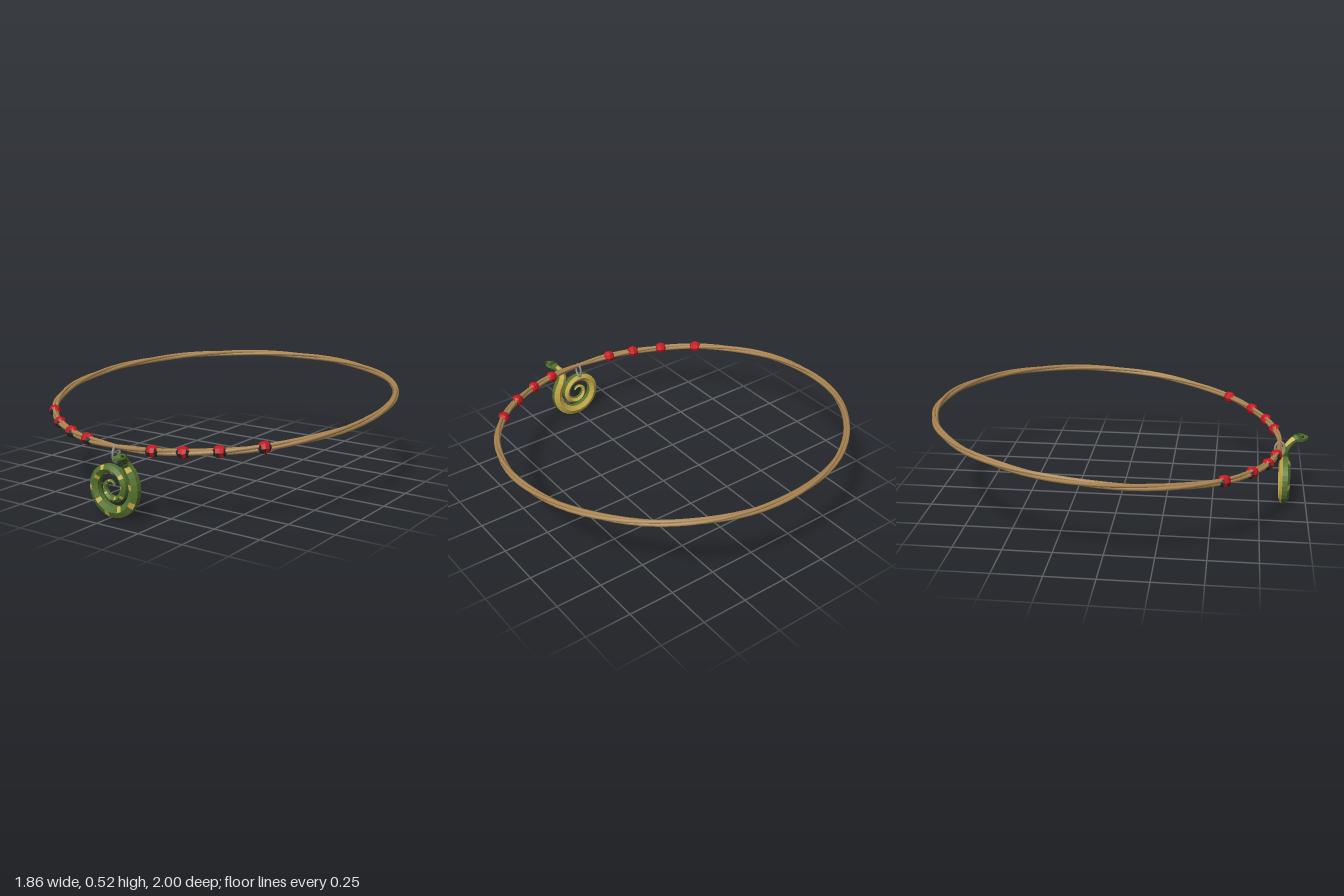
import * as THREE from 'three';

const mat = (name, color, flatShading = true) => {
  const m = new THREE.MeshStandardMaterial({ color, flatShading });
  m.name = name;
  return m;
};
const V = (x, y, z) => new THREE.Vector3(x, y, z);

// Skin a row of rings {p, d, w, h}: d is the dorsal hint, w/h the half width and height.
// pick(i, j) chooses the material index of each facet; j counts from the dorsal ridge.
function sweep(name, rings, sides, materials, pick) {
  const loops = rings.map((r, i) => {
    const a = rings[Math.max(i - 1, 0)].p, b = rings[Math.min(i + 1, rings.length - 1)].p;
    const t = b.clone().sub(a).normalize();
    const d = r.d.clone().addScaledVector(t, -r.d.dot(t)).normalize();
    const s = t.clone().cross(d);
    return Array.from({ length: sides }, (_, j) => {
      const k = (j / sides) * Math.PI * 2;
      return r.p.clone().addScaledVector(d, r.h * Math.cos(k)).addScaledVector(s, r.w * Math.sin(k));
    });
  });
  const buckets = materials.map(() => []);
  const tri = (m, ...pts) => pts.forEach(p => buckets[m].push(p.x, p.y, p.z));
  const last = loops.length - 1;
  for (let j = 0; j < sides; j++) {
    const k = (j + 1) % sides;
    for (let i = 0; i < last; i++) {
      const m = pick(i, j);
      tri(m, loops[i][j], loops[i][k], loops[i + 1][j]);
      tri(m, loops[i][k], loops[i + 1][k], loops[i + 1][j]);
    }
    tri(pick(0, j), rings[0].p, loops[0][k], loops[0][j]);
    tri(pick(last - 1, j), rings[last].p, loops[last][j], loops[last][k]);
  }
  const geo = new THREE.BufferGeometry();
  geo.setAttribute('position', new THREE.Float32BufferAttribute(buckets.flat(), 3));
  let start = 0;
  buckets.forEach((b, m) => {
    geo.addGroup(start, b.length / 3, m);
    start += b.length / 3;
  });
  geo.computeVertexNormals();
  const mesh = new THREE.Mesh(geo, materials);
  mesh.name = name;
  return mesh;
}

// Centre line of the tilted neck cord; angle 0 is the front middle
function cordPoint(a) {
  const c = Math.cos(a);
  return V(0.912 * Math.sin(a), 0.442 - 0.08 * c - 0.02 * c * c, -0.069 + 0.915 * c);
}

export function createModel() {
  const model = new THREE.Group();
  const tan = mat('cordTan', 0xad8752, false);
  const red = mat('beadRed', 0xc4181e);
  const dark = mat('beadDark', 0x1f2a2a);
  const green = mat('snakeGreen', 0x54732e);
  const deepGreen = mat('snakeDarkGreen', 0x374d22);
  const yellow = mat('snakeYellow', 0xcdb24c);
  const grey = mat('ringGrey', 0x97938a, false);

  // Cord of three slowly twisted strands, pinched together at the front
  const cord = new THREE.Group();
  cord.name = 'cord';
  for (let s = 0; s < 3; s++) {
    const pts = [];
    for (let i = 0; i < 80; i++) {
      const a = (i / 80) * Math.PI * 2;
      const near = Math.cos(a) > 0 ? Math.exp(-((Math.sin(a) / 0.08) ** 2)) : 0;
      const off = 0.0085 * (1 - 0.9 * near);
      const k = a * 4 + (s * Math.PI * 2) / 3;
      const out = V(Math.sin(a), 0, Math.cos(a)).multiplyScalar(off * Math.cos(k));
      pts.push(cordPoint(a).add(out).add(V(0, off * Math.sin(k), 0)));
    }
    const strand = new THREE.Mesh(
      new THREE.TubeGeometry(new THREE.CatmullRomCurve3(pts, true), 80, 0.0105, 6, true), tan);
    strand.name = 'strand';
    cord.add(strand);
  }
  model.add(cord);

  // Round beads, four on each side, with dark marks on the outer faces
  const profile = [[-0.032, 0.013], [-0.019, 0.027], [0, 0.032], [0.019, 0.027], [0.032, 0.013]];
  for (const side of [-1, 1]) {
    const inner = side < 0 ? 2 : 1;
    for (const x of [0.2, 0.345, 0.495, 0.655]) {
      const a = Math.asin((side * x) / 0.912);
      const dir = cordPoint(a + 0.01).sub(cordPoint(a - 0.01)).normalize();
      const d = V(Math.sin(a), 0, Math.cos(a));
      const rings = profile.map(([t, r]) => ({ p: cordPoint(a).addScaledVector(dir, t), d, w: r, h: r }));
      model.add(sweep('bead', rings, 8, [red, dark], (i, j) => {
        const end = i === 0 || i === 3;
        return (end && (j < 2 || j === 7)) || (i === inner && j === 0) ? 1 : 0;
      }));
    }
  }

  // Metal ring joining pendant and cord
  const bail = new THREE.Mesh(new THREE.TorusGeometry(0.026, 0.006, 8, 24), grey);
  bail.name = 'hangingRing';
  bail.rotation.y = Math.PI / 2;
  bail.scale.y = 1.5;
  bail.position.set(0, 0.305, 0.848);
  model.add(bail);

  // Coiled snake: spiral body widening outwards from the tail
  const rings = [];
  const bodySteps = 60, from = -1.9, to = 0.11;
  for (let i = 0; i <= bodySteps; i++) {
    const f = i / bodySteps, turn = from + (to - from) * f;
    const r = 0.137 + 0.063 * turn, a = turn * Math.PI * 2;
    const grow = Math.min(1, f * 1.25);
    rings.push({
      p: V(r * Math.cos(a), 0.15 + r * Math.sin(a), 0.88), d: V(0, 0, 1),
      w: 0.005 + 0.027 * grow, h: 0.008 + 0.019 * Math.min(1, f * 2),
    });
  }
  // Neck bending up and forward, then the flat head
  const front = [
    [0.096, 0.268, 0.884, 0.028, 0.023], [0.09, 0.292, 0.893, 0.024, 0.02],
    [0.095, 0.312, 0.908, 0.021, 0.017], [0.104, 0.325, 0.925, 0.022, 0.016],
    [0.111, 0.331, 0.942, 0.033, 0.018], [0.117, 0.333, 0.96, 0.037, 0.019],
    [0.122, 0.333, 0.98, 0.029, 0.016], [0.126, 0.332, 0.998, 0.014, 0.009],
  ];
  front.forEach(([x, y, z, w, h], i) => {
    const bend = Math.min(1, (i + 1) / 4);
    rings.push({ p: V(x, y, z), d: V(0.2 * bend, -bend, 1.05 - bend), w, h });
  });
  const headStart = bodySteps + 4;
  model.add(sweep('snake', rings, 6, [green, deepGreen, yellow], (i, j) => {
    const belly = j === 2 || j === 3, throat = j === 0 || j === 5;
    if (i >= headStart) return belly && i === headStart + 1 ? 1 : 0;
    if (belly) return 2;
    if (i > bodySteps) return throat ? 1 : 0;
    // Yellow spots alternate between the outer and inner front faces
    return (i % 6 === 0 && j === 0) || (i % 6 === 3 && j === 5) ? 2 : 0;
  }));

  // Eyes on both sides of the head
  for (const side of [-1, 1]) {
    const eye = new THREE.Mesh(new THREE.IcosahedronGeometry(0.007, 1), dark);
    eye.name = 'eye';
    eye.position.set(0.12 + side * 0.021, 0.345, 0.972);
    model.add(eye);
  }
  return model;
}
